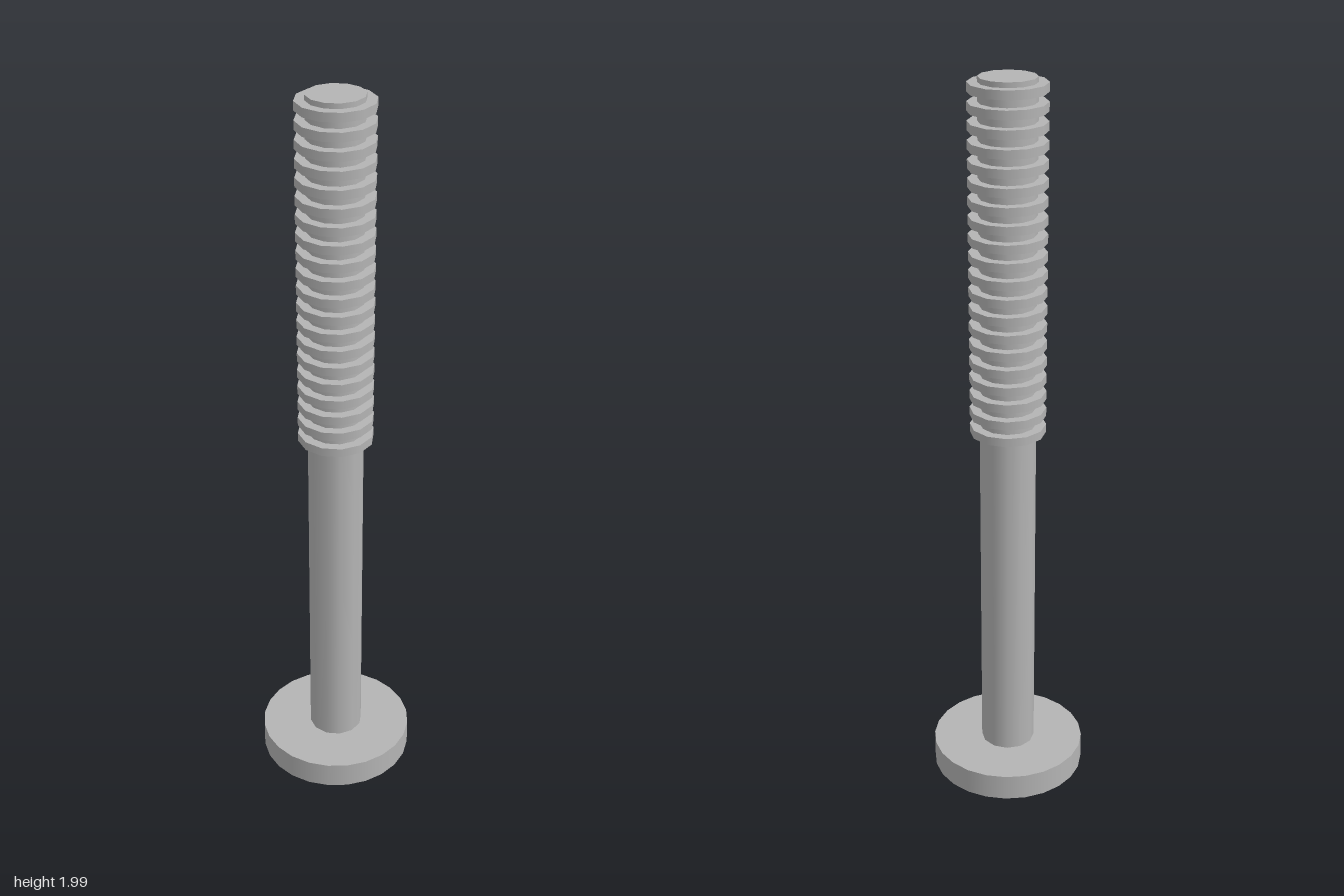
import * as THREE from 'three';

const HEAD_R = 0.21, MID_R = 0.175, HEAD_TOP = 0.12, HEAD_BASE = 0.047;
const SLOT = 0.053, ARM = 0.12; // slot half width, length of the short arms

// Height of the shallow dome under the head at radius r
function domeY(r) {
  if (r > MID_R) return 0.023 + (HEAD_BASE - 0.023) * Math.min(1, (r - MID_R) / (HEAD_R - MID_R));
  return 0.002 + 0.021 * (r / MID_R) ** 2;
}

// Points on an arc of radius r, cut off where z falls below the slot edge
function arc(r) {
  const start = Math.asin(SLOT / r), pts = [];
  const angles = [start];
  for (let i = 1; i < 12; i++) {
    const a = (i * Math.PI) / 12;
    if (a > start + 0.01 && a < Math.PI - start - 0.01) angles.push(a);
  }
  angles.push(Math.PI - start);
  for (const a of angles) pts.push(new THREE.Vector2(r * Math.cos(a), r * Math.sin(a)));
  return pts;
}

// Extrude an outline downwards and bend its lower face onto the dome
function domePiece(points) {
  const g = new THREE.ExtrudeGeometry(new THREE.Shape(points), { depth: 1, bevelEnabled: false });
  g.rotateX(Math.PI / 2);
  const p = g.attributes.position;
  for (let i = 0; i < p.count; i++) {
    p.setY(i, p.getY(i) < -0.5 ? domeY(Math.hypot(p.getX(i), p.getZ(i))) : HEAD_BASE);
  }
  g.computeVertexNormals();
  return g;
}

export function createModel() {
  const model = new THREE.Group();
  model.name = 'machineScrew';
  const steel = new THREE.MeshStandardMaterial({ color: 0xb4b4b4 });
  steel.name = 'steel grey';

  const add = (parent, name, geometry, y = 0) => {
    const mesh = new THREE.Mesh(geometry, steel);
    mesh.name = name;
    mesh.position.y = y;
    parent.add(mesh);
    return mesh;
  };
  const cylinder = (parent, name, r, y0, y1, sides) =>
    add(parent, name, new THREE.CylinderGeometry(r, r, y1 - y0, sides), (y0 + y1) / 2);

  // Shaft
  cylinder(model, 'shaft', 0.074, HEAD_TOP - 0.01, 2, 12);

  // Thread ridges
  const thread = new THREE.Group();
  thread.name = 'thread';
  model.add(thread);
  for (let i = 0; i < 20; i++) {
    const y = 1.086 + i * 0.0468;
    cylinder(thread, 'threadRidge', 0.1, y - 0.0115, y + 0.0115, 12);
  }

  // Head: disc with a domed underside, cut by a cross slot
  const head = new THREE.Group();
  head.name = 'head';
  model.add(head);
  cylinder(head, 'headDisc', HEAD_R, HEAD_BASE, HEAD_TOP, 24);

  const notch = [[-SLOT, SLOT], [-SLOT, ARM], [SLOT, ARM], [SLOT, SLOT]]
    .map(([x, z]) => new THREE.Vector2(x, z));
  const inner = domePiece([...arc(MID_R), ...notch]);
  const outer = domePiece([...arc(HEAD_R), ...arc(MID_R).reverse()]);
  for (const turn of [0, Math.PI]) {
    add(head, 'domeInner', inner).rotation.y = turn;
    add(head, 'domeRim', outer).rotation.y = turn;
  }
  return model;
}
